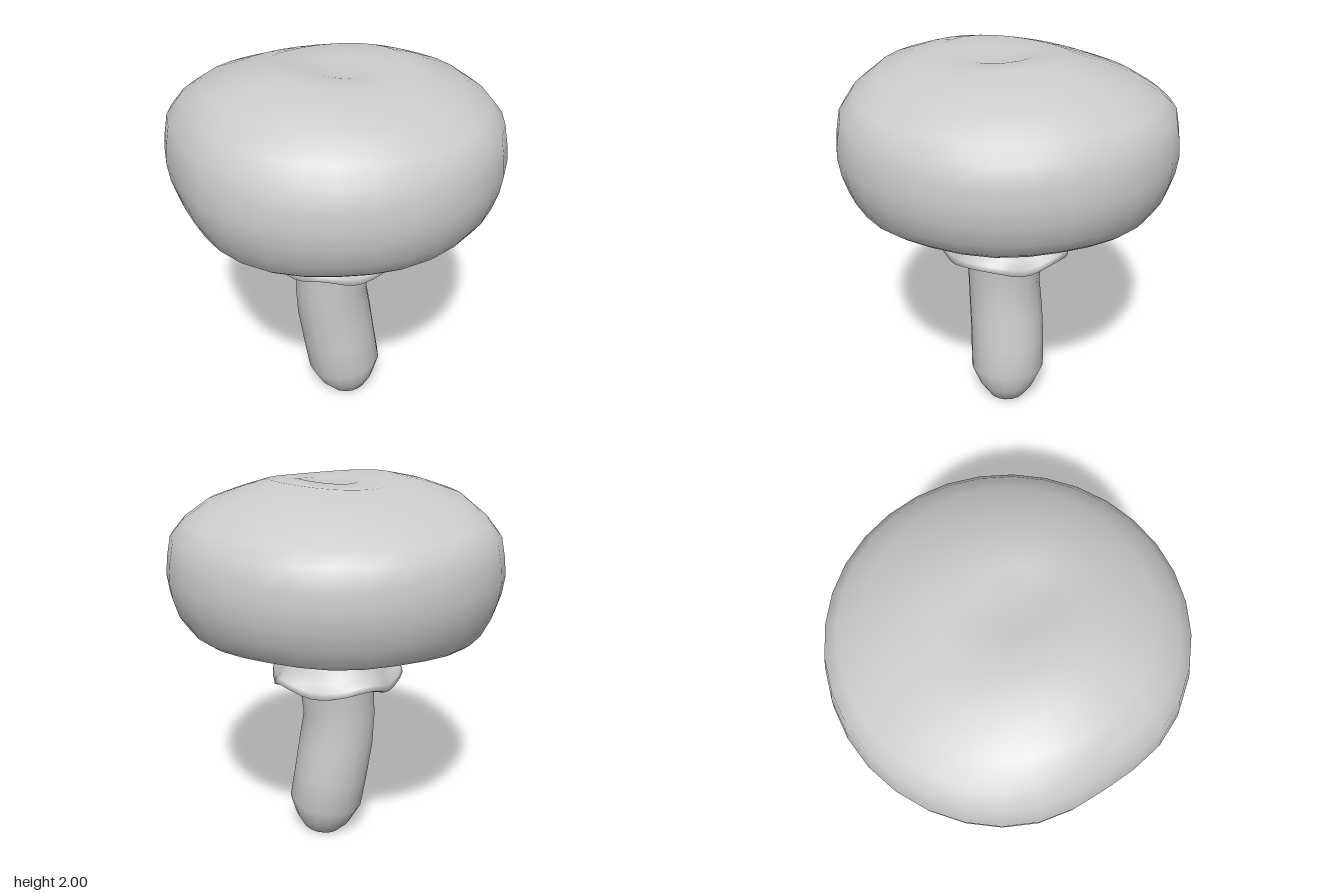
import * as THREE from 'three';
import { mergeVertices } from 'three/addons/utils/BufferGeometryUtils.js';

// Closed rings stacked along a profile; place(row, angle) gives each point.
function loft(name, rows, segments, place, side = THREE.FrontSide) {
  const positions = [], index = [];
  rows.forEach((row, i) => {
    for (let j = 0; j < segments; j++) {
      positions.push(...place(row, (j / segments) * Math.PI * 2));
      if (i === 0) continue;
      const k = (j + 1) % segments;
      const a = (i - 1) * segments + j, b = (i - 1) * segments + k;
      const c = i * segments + k, d = i * segments + j;
      index.push(a, b, c, a, c, d);
    }
  });
  let geometry = new THREE.BufferGeometry();
  geometry.setAttribute('position', new THREE.Float32BufferAttribute(positions, 3));
  geometry.setIndex(index);
  geometry = mergeVertices(geometry, 1e-5);
  geometry.computeVertexNormals();
  const mesh = new THREE.Mesh(geometry, new THREE.MeshStandardMaterial({ color: 0xcccccc, side }));
  mesh.name = name;
  return mesh;
}

// Cap: shallow hollow underside, rolled rim and an uneven top with a small central dent
function createCap() {
  const profile = [
    [0.2, 1.24], [0.24, 1.27], [0.28, 1.295], [0.35, 1.317], [0.45, 1.33], [0.55, 1.328],
    [0.64, 1.308], [0.69, 1.275], [0.715, 1.257], [0.74, 1.257], [0.77, 1.28], [0.815, 1.36],
    [0.842, 1.45], [0.854, 1.54], [0.844, 1.63], [0.824, 1.73], [0.76, 1.82], [0.64, 1.912],
    [0.48, 1.963], [0.33, 1.99], [0.16, 1.978], [0, 1.945],
  ];
  const { smoothstep } = THREE.MathUtils;
  return loft('cap', profile, 32, ([r, y], a) => {
    const top = smoothstep(y, 1.7, 1.9);
    const rim = r > 0.68 && y < 1.3 ? 1 : 0;
    // shallow flat on the front right of the rim
    const flat = r > 0.66 ? 1 - 0.05 * Math.exp(-(((a - 5.33) / 0.35) ** 2)) : 1;
    // lower towards the back, gently saddle-shaped near the middle
    const slope = 0.025 * (1 - Math.cos(a)) * smoothstep(r, 0.2, 0.6);
    const saddle = 0.012 * Math.sin(2 * a) * Math.min(1, r / 0.3);
    const wave = rim * (0.012 * Math.sin(a) + 0.004 * Math.sin(a * 7));
    const shift = top * 0.05 * Math.max(0, 1 - r / 0.45);
    return [
      r * flat * Math.sin(a) + shift,
      y - top * (slope + saddle) + wave,
      r * flat * Math.cos(a) + shift,
    ];
  });
}

// Stem: bent column with a rounded foot; rows are [y, centreX, centreZ, radiusX, radiusZ, tilt]
function createStem() {
  const rows = [
    [0.018, 0.085, 0, 0, 0, 0], [0.018, 0.085, 0, 0.105, 0.1, 0.014],
    [0.09, 0.075, 0, 0.157, 0.155, 0.025], [0.2, 0.06, 0, 0.202, 0.205, 0.03],
    [0.38, 0.03, 0.002, 0.204, 0.205, 0.02], [0.56, 0.005, 0.012, 0.207, 0.203, 0],
    [0.73, -0.012, 0.024, 0.197, 0.197, 0], [0.92, 0, 0.014, 0.203, 0.207, 0],
    [1.12, 0.008, 0, 0.218, 0.22, 0], [1.3, 0.01, 0, 0.222, 0.222, 0],
  ];
  return loft('stem', rows, 16, ([y, cx, cz, rx, rz, tilt], a) =>
    [cx + rx * Math.sin(a), y + tilt * Math.sin(a), cz + rz * Math.cos(a)]);
}

// Skirt: flared collar with a ruffled lip; rows are [radius, y, ruffle]
function createSkirt() {
  const rows = [
    [0.2, 1.03, 0], [0.25, 1.005, 0.3], [0.3, 0.965, 0.8], [0.325, 0.94, 1],
    [0.348, 0.95, 1], [0.342, 0.98, 0.8], [0.31, 1.01, 0.4], [0.285, 1.04, 0.15],
    [0.265, 1.08, 0], [0.24, 1.125, 0], [0.22, 1.165, 0], [0.2, 1.18, 0],
  ];
  return loft('skirt', rows, 40, ([r, y, ruffle], a) => {
    const wave = Math.cos(a * 5) + 0.25 * Math.sin(a * 8 + 1);
    const radius = r + 0.016 * ruffle * wave;
    return [radius * Math.sin(a) + 0.006, y + 0.024 * ruffle * wave, radius * Math.cos(a) + 0.008];
  }, THREE.DoubleSide);
}

export function createModel() {
  const mushroom = new THREE.Group();
  mushroom.name = 'mushroom';
  mushroom.add(createCap(), createStem(), createSkirt());
  return mushroom;
}
